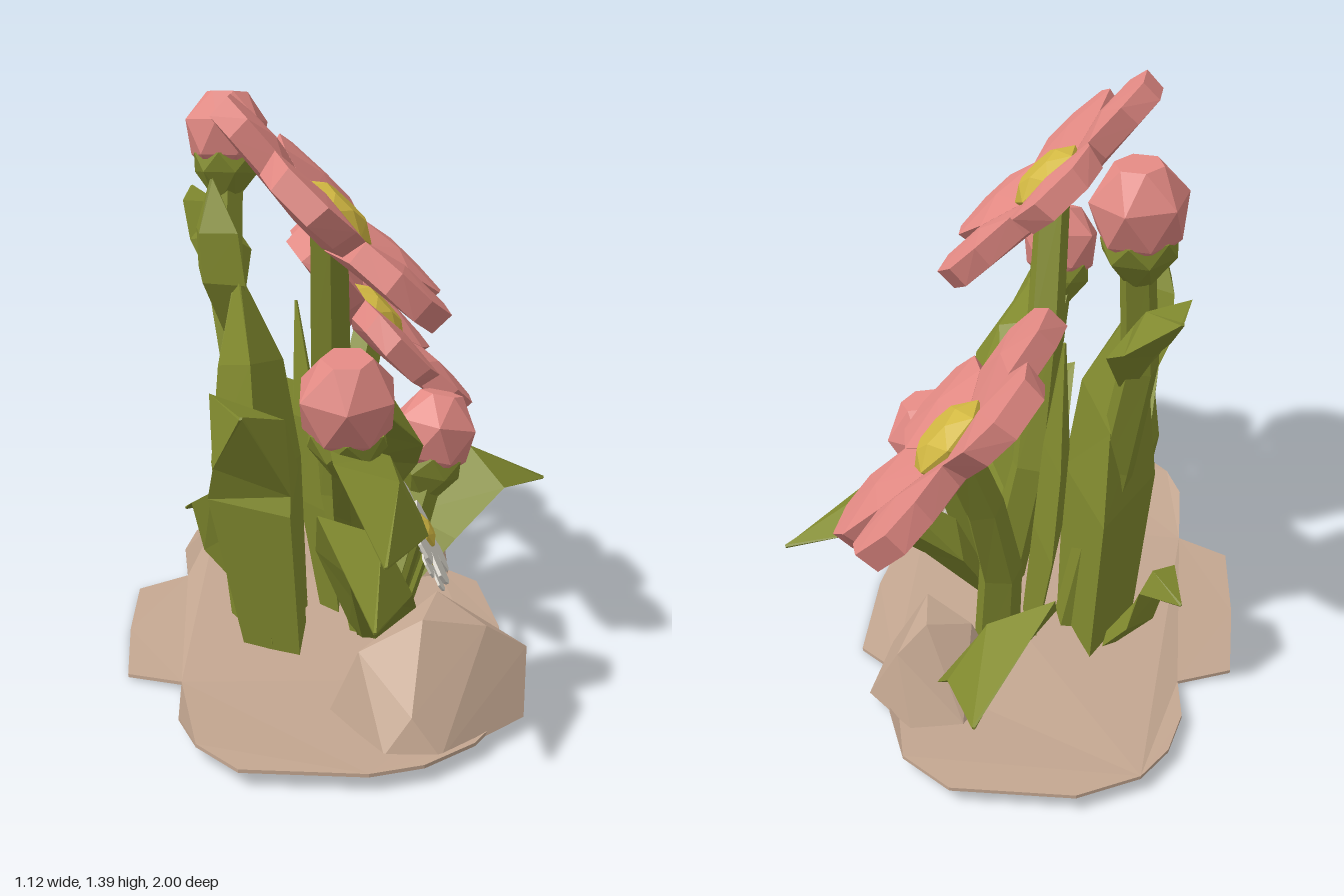
import * as THREE from 'three';
import { ConvexGeometry } from 'three/addons/geometries/ConvexGeometry.js';

const V = (x, y, z) => new THREE.Vector3(x, y, z);
const paint = (name, color) => Object.assign(new THREE.MeshStandardMaterial({ color }), { name });

export function createModel() {
  const pink = paint('petal pink', 0xe28983);
  const green = paint('leaf green', 0x828b2f);
  const yellow = paint('centre yellow', 0xd2b842);
  const white = paint('small petal white', 0xdedad0);
  const stone = paint('earth tan', 0xc4a791);
  const model = new THREE.Group();
  model.name = 'flowerBed';

  const add = (parent, name, geometry, material) => {
    const mesh = new THREE.Mesh(geometry, material);
    mesh.name = name;
    parent.add(mesh);
    return mesh;
  };

  // Faceted solid around a set of points
  const hull = (pts) => new ConvexGeometry(pts.map((p) => V(...p)));

  // Stacked polygon rings [radius, height] closed into a solid
  const turned = (profile, sides) => hull(profile.flatMap(([r, y], k) =>
    Array.from({ length: sides }, (_, i) => {
      const a = ((i + (k % 2) * 0.5) / sides) * Math.PI * 2;
      return [r * Math.cos(a), y, r * Math.sin(a)];
    })));

  // Flat-faced skin over rings with equal point counts, capped at both ends
  const loft = (rings) => {
    const out = [];
    const tri = (...ps) => ps.forEach((p) => out.push(p.x, p.y, p.z));
    const n = rings[0].length;
    for (let k = 0; k + 1 < rings.length; k++) {
      const [a, b] = [rings[k], rings[k + 1]];
      for (let i = 0; i < n; i++) {
        const j = (i + 1) % n;
        tri(a[i], a[j], b[j]);
        tri(a[i], b[j], b[i]);
      }
    }
    const [s, e] = [rings[0], rings.at(-1)];
    for (let i = 1; i + 1 < n; i++) {
      tri(s[0], s[i + 1], s[i]);
      tri(e[0], e[i], e[i + 1]);
    }
    const g = new THREE.BufferGeometry();
    g.setAttribute('position', new THREE.Float32BufferAttribute(out, 3));
    g.computeVertexNormals();
    return g;
  };

  // Sweep an ellipse (or a diamond when sides = 4) along points
  const sweep = (path, sideDir, widths, depths, sides) => {
    const pts = path.map((p) => V(...p));
    return loft(pts.map((p, k) => {
      const dir = pts[Math.min(k + 1, pts.length - 1)].clone().sub(pts[Math.max(k - 1, 0)]).normalize();
      const side = V(...sideDir).addScaledVector(dir, -dir.dot(V(...sideDir))).normalize();
      const up = dir.clone().cross(side);
      return Array.from({ length: sides }, (_, i) => {
        const a = (i / sides) * Math.PI * 2;
        return p.clone().addScaledVector(side, Math.cos(a) * widths[k]).addScaledVector(up, Math.sin(a) * depths[k]);
      });
    }));
  };

  const leaf = (name, path, side, widths, depth) =>
    add(model, name, sweep(path, side, widths, widths.map((w) => w * depth + 0.003), 4), green);
  const stem = (name, path, r) => {
    const radii = path.map((_, i) => r * (1 - 0.08 * i));
    add(model, name, sweep(path, [0, 0.1, 1], radii, radii, 5), green);
  };

  // Group whose local y is the facing direction and local x points up the slope
  const facing = (name, position, normal) => {
    const n = V(...normal).normalize();
    const u = V(0, 1, 0).addScaledVector(n, -n.y).normalize();
    const g = new THREE.Group();
    g.name = name;
    g.quaternion.setFromRotationMatrix(new THREE.Matrix4().makeBasis(u, n, u.clone().cross(n)));
    g.position.set(...position);
    model.add(g);
    return g;
  };

  // Ground sheet, lower across its middle
  const outline = [
    [-0.2, -0.82], [0.08, -0.82], [0.2, -0.72], [0.26, -0.55], [0.28, -0.36], [0.38, -0.26],
    [0.39, 0.05], [0.37, 0.25], [0.31, 0.4], [0.32, 0.6], [0.22, 0.75], [0.1, 0.84], [-0.02, 0.87],
    [-0.29, 0.83], [-0.38, 0.71], [-0.42, 0.58], [-0.42, 0.35], [-0.55, 0.28], [-0.56, 0],
    [-0.55, -0.27], [-0.42, -0.34], [-0.43, -0.5], [-0.4, -0.64], [-0.34, -0.74],
  ];
  const ground = new THREE.ExtrudeGeometry(
    new THREE.Shape(outline.map(([x, z]) => new THREE.Vector2(x, -z))), { depth: 0.008, bevelEnabled: false });
  ground.rotateX(-Math.PI / 2);
  const gp = ground.attributes.position;
  for (let i = 0; i < gp.count; i++) {
    const t = THREE.MathUtils.clamp((Math.abs(gp.getZ(i)) - 0.25) / 0.3, 0, 1);
    gp.setY(i, gp.getY(i) + 0.006 + 0.034 * t);
  }
  ground.computeVertexNormals();
  add(model, 'ground', ground, stone);

  // Rocks
  add(model, 'frontRock', hull([
    [-0.08, 0.04, 0.55], [0.02, 0.04, 0.78], [0.14, 0.04, 0.8], [0.35, 0.04, 0.62], [0.37, 0.04, 0.5],
    [0.33, 0.04, 0.34], [0.15, 0.04, 0.3], [0.37, 0.17, 0.53], [0.25, 0.16, 0.36], [-0.02, 0.2, 0.6],
    [0.08, 0.12, 0.77], [0.17, 0.29, 0.48], [0.12, 0.28, 0.62], [0.27, 0.24, 0.57]]), stone);
  add(model, 'backRock', hull([
    [0, 0.04, -0.4], [0.08, 0.04, -0.58], [0.2, 0.04, -0.61], [0.32, 0.04, -0.48], [0.3, 0.04, -0.26],
    [0.15, 0.04, -0.22], [0.24, 0.19, -0.53], [0.18, 0.23, -0.46], [0.2, 0.22, -0.31], [0.08, 0.2, -0.4]]), stone);

  // Large five-petal blooms, petals lifting outward from a sunken centre
  const petal = hull([[0.07, 0.05, -0.01], [0.18, 0.13, 0.02], [0.295, 0.125, 0.03], [0.36, 0.06, 0.03]]
    .flatMap(([r, w, y]) => [[r, y, w], [r, y, -w], [r, y - 0.06, w * 0.9], [r, y - 0.06, -w * 0.9]])
    .concat([[0.22, 0.036, 0]]));
  const core = turned([[0.09, -0.06], [0.108, 0.008], [0.065, 0.04]], 7);
  const bloom = (name, position, normal, turn) => {
    const g = facing(name, position, normal);
    for (let i = 0; i < 5; i++) {
      add(g, 'petal', petal, pink).rotation.y = -THREE.MathUtils.degToRad(turn + i * 72);
    }
    add(g, 'flowerCentre', core, yellow);
  };
  bloom('tallFlower', [-0.045, 1.12, 0.24], [0.69, 0.72, 0.02], 2);
  bloom('lowFlower', [0.115, 0.735, -0.475], [0.73, 0.68, 0], -30);
  stem('tallFlowerStem', [[0.06, 0.02, 0.08], [-0.02, 0.4, 0.06], [-0.05, 0.75, 0.12], [-0.06, 1.08, 0.23]], 0.06);
  stem('lowFlowerStem', [[0.04, 0.03, -0.24], [0.02, 0.3, -0.31], [0.05, 0.52, -0.39], [0.1, 0.71, -0.47]], 0.06);

  // Closed buds with green cups
  const budShape = turned([[0.05, -0.1], [0.095, -0.06], [0.112, 0.03], [0.055, 0.105]], 6);
  const cupShape = turned([[0.035, -0.17], [0.085, -0.105], [0.088, -0.055]], 6);
  const bud = (name, position, axis) => {
    const g = facing(name, position, axis);
    add(g, 'budPetals', budShape, pink);
    add(g, 'budCup', cupShape, green);
  };
  bud('backBud', [-0.29, 1.25, -0.37], [0.03, 1, -0.12]);
  bud('frontBud', [-0.05, 0.79, 0.67], [-0.02, 1, 0.25]);
  bud('sideBud', [0.225, 0.515, -0.03], [0.2, 1, -0.1]);
  stem('backBudStem', [[-0.15, 0.04, -0.1], [-0.25, 0.55, -0.2], [-0.3, 0.85, -0.29], [-0.29, 1.11, -0.35]], 0.055);
  stem('frontBudStem', [[0.06, 0.03, 0.1], [0, 0.28, 0.26], [-0.03, 0.48, 0.44], [-0.05, 0.65, 0.62]], 0.045);
  stem('sideBudStem', [[0.08, 0.03, 0.08], [0.14, 0.2, 0.04], [0.2, 0.38, 0]], 0.045);

  // Little white flowers
  const smallPetal = hull([-0.004, 0.004].flatMap((y) =>
    [[0.02, 0.018], [0.075, 0.04], [0.12, 0.04], [0.134, 0.018]].flatMap(([r, w]) => [[r, y, w], [r, y, -w]])));
  const smallCore = turned([[0.045, -0.01], [0.042, 0.012], [0.02, 0.022]], 6);
  const smallFlower = (name, position, scale) => {
    const g = facing(name, position, [0.87, 0.46, 0.1]);
    for (let i = 0; i < 6; i++) add(g, 'smallPetal', smallPetal, white).rotation.y = (i + 0.5) * Math.PI / 3;
    add(g, 'smallCentre', smallCore, yellow);
    g.scale.setScalar(scale);
  };
  smallFlower('upperSmallFlower', [0.155, 0.38, 0.33], 1);
  smallFlower('lowerSmallFlower', [0.19, 0.25, 0.15], 0.7);
  stem('upperSmallStem', [[0.1, 0.02, 0.12], [0.12, 0.2, 0.22], [0.145, 0.37, 0.33]], 0.014);
  stem('lowerSmallStem', [[0.1, 0.02, 0.11], [0.15, 0.14, 0.13], [0.18, 0.245, 0.15]], 0.012);

  // Broad upright blades at the back
  leaf('tallBlade', [[-0.2, 0.04, -0.04], [-0.23, 0.45, -0.05], [-0.24, 0.7, -0.07], [-0.27, 0.92, -0.15]],
    [0, 0, 1], [0.24, 0.28, 0.2, 0.004], 0.4);
  leaf('sideBlade', [[-0.19, 0.04, 0.11], [-0.24, 0.45, 0.15], [-0.25, 0.57, 0.22], [-0.27, 0.69, 0.42]],
    [0.4, -0.1, 0.9], [0.14, 0.2, 0.17, 0.004], 0.6);
  leaf('innerBlade', [[-0.04, 0.04, -0.08], [-0.08, 0.32, -0.12], [-0.1, 0.55, -0.12], [-0.12, 0.84, -0.16]],
    [0.15, 0, 1], [0.12, 0.17, 0.15, 0.004], 0.2);

  // Arching leaves
  leaf('middleLeaf', [[0, 0.32, 0.06], [0.04, 0.54, 0.14], [0.05, 0.66, 0.29], [0.03, 0.73, 0.49]],
    [0.75, -0.65, 0], [0.05, 0.13, 0.13, 0.004], 0.4);
  leaf('frontLowLeaf', [[0.04, 0.04, 0.12], [0.02, 0.26, 0.32], [0, 0.4, 0.53], [0, 0.32, 0.78]],
    [0.75, -0.65, 0], [0.05, 0.14, 0.14, 0.004], 0.4);
  leaf('frontHighLeaf', [[-0.03, 0.56, 0.5], [0.01, 0.62, 0.64], [0.01, 0.62, 0.8], [0, 0.55, 1]],
    [0.75, -0.65, 0], [0.03, 0.13, 0.13, 0.004], 0.4);
  leaf('backLeaf', [[0.04, 0.05, -0.38], [0, 0.25, -0.56], [-0.03, 0.4, -0.76], [0, 0.35, -1]],
    [0.75, -0.65, 0], [0.06, 0.16, 0.15, 0.004], 0.3);
  leaf('sideLeaf', [[0.08, 0.04, 0], [0.2, 0.25, -0.08], [0.34, 0.38, -0.17], [0.56, 0.31, -0.27]],
    [0.4, -0.15, 0.9], [0.04, 0.14, 0.15, 0.004], 0.4);
  leaf('rearSmallLeaf', [[-0.25, 0.05, -0.2], [-0.33, 0.16, -0.24], [-0.36, 0.27, -0.27], [-0.42, 0.23, -0.32]],
    [-0.4, 0, 0.9], [0.05, 0.09, 0.07, 0.004], 0.3);

  // Leaves on the tall bud stem
  leaf('stemLeafFront', [[-0.28, 0.72, -0.24], [-0.31, 0.9, -0.19], [-0.32, 1.02, -0.18], [-0.33, 1.15, -0.19]],
    [0.5, 0, 0.8], [0.03, 0.11, 0.1, 0.004], 0.5);
  leaf('stemLeafBack', [[-0.28, 0.8, -0.28], [-0.31, 0.95, -0.38], [-0.34, 1.02, -0.47], [-0.39, 1.08, -0.59]],
    [0.75, -0.65, 0], [0.03, 0.1, 0.1, 0.004], 0.4);

  return model;
}
